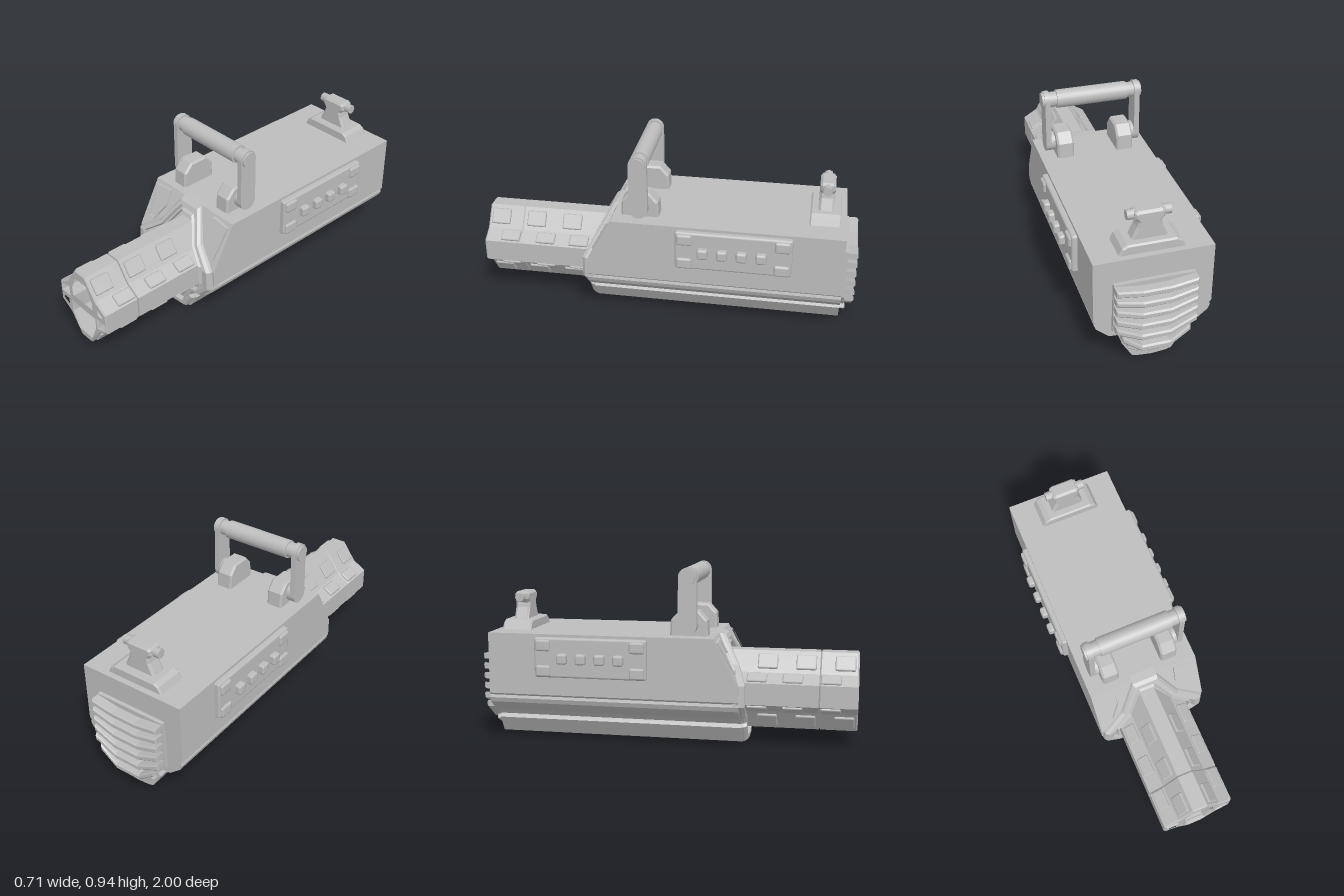
import * as THREE from 'three';
import { RoundedBoxGeometry } from 'three/addons/geometries/RoundedBoxGeometry.js';

const steel = new THREE.MeshStandardMaterial({ color: 0xbdbdbd });
steel.name = 'steel grey';

// front face of the body leans back above the shoulder line
const SHOULDER = 0.35, FRONT = 0.4;
const lean = y => -Math.max(0, y - SHOULDER) * 0.54;

export function createModel() {
  const root = new THREE.Group();
  root.name = 'cannon';

  const add = (name, geo, x = 0, y = 0, z = 0, rz = 0) => {
    const m = new THREE.Mesh(geo, steel);
    m.name = name;
    m.position.set(x, y, z);
    m.rotation.z = rz;
    root.add(m);
    return m;
  };
  const block = (w, h, d, r = 0.01) => new RoundedBoxGeometry(w, h, d, 1, r);
  const rod = (r, len, n = 24) => new THREE.CylinderGeometry(r, r, len, n).rotateZ(Math.PI / 2);
  const vec = pts => pts.map(p => new THREE.Vector2(p[0], p[1]));
  // closes a right-hand outline (top to bottom) with its mirror image
  const mirror = pts => [...pts, ...pts.filter(p => p[0] > 0).reverse().map(p => [-p[0], p[1]])];
  const extrude = (pts, z0, z1, bevel = 0, holes = []) => {
    const s = new THREE.Shape(vec(pts));
    s.holes = holes.map(h => new THREE.Path(vec(h)));
    return new THREE.ExtrudeGeometry(s, {
      depth: z1 - z0 - 2 * bevel, bevelEnabled: bevel > 0, bevelSize: bevel,
      bevelThickness: bevel, bevelOffset: -bevel, bevelSegments: 1, curveSegments: 10
    }).translate(0, 0, z0 + bevel);
  };
  const shift = (geo, rule) => {
    const p = geo.attributes.position;
    for (let i = 0; i < p.count; i++) p.setZ(i, rule(p.getY(i), p.getZ(i)));
    geo.computeVertexNormals();
    return geo;
  };

  // body: leaning upper box and stepped keel
  const upper = new THREE.BoxGeometry(0.59, 0.24, FRONT + 0.93).translate(0, 0.47, (FRONT - 0.93) / 2);
  add('upperBody', shift(upper, (y, z) => z > 0 ? z + lean(y) : z));
  add('lowerBody', extrude(mirror([
    [0.295, 0.35], [0.295, 0.265], [0.285, 0.255], [0.29, 0.24], [0.28, 0.215], [0.215, 0.16],
    [0.17, 0.157], [0.14, 0.12], [0.152, 0.1], [0.1, 0.015], [0.07, 0.006], [0, 0]
  ]), -0.93, FRONT));

  // collar: lofted rings between the body outline and the barrel
  const outer = mirror([[0, 0.592], [0.07, 0.592], [0.1, 0.54], [0.16, 0.44], [0.285, 0.35], [0.292, 0.24],
    [0.215, 0.162], [0.16, 0.157], [0.135, 0.12], [0.148, 0.1], [0.09, 0.012], [0, 0.002]]);
  const inner = mirror([[0, 0.53], [0.035, 0.53], [0.055, 0.505], [0.115, 0.41], [0.195, 0.35], [0.195, 0.235],
    [0.15, 0.205], [0.12, 0.19], [0.105, 0.17], [0.095, 0.15], [0.045, 0.08], [0, 0.08]]);
  const rings = [[0, -0.03], [0.05, 0.015], [0.2, 0.03], [0.5, 0.03], [0.65, 0.01], [0.8, 0.01], [0.9, 0.025], [1, -0.02]]
    .map(([t, dz]) => outer.map((o, i) => {
      const x = o[0] + (inner[i][0] - o[0]) * t, y = o[1] + (inner[i][1] - o[1]) * t;
      return [x, y, FRONT + lean(y) + dz];
    }));
  const verts = [];
  for (let r = 0; r < rings.length - 1; r++) {
    const A = rings[r], B = rings[r + 1];
    for (let i = 0; i < A.length; i++) {
      const j = (i + 1) % A.length;
      verts.push(...A[i], ...B[i], ...A[j], ...A[j], ...B[i], ...B[j]);
    }
  }
  const collar = new THREE.BufferGeometry();
  collar.setAttribute('position', new THREE.Float32BufferAttribute(verts, 3));
  collar.computeVertexNormals();
  add('frontCollar', collar);

  // framed plates on the leaning front
  for (const s of [1, -1]) {
    const frame = [[0.165, 0.578], [0.28, 0.568], [0.265, 0.405], [0.215, 0.41], [0.16, 0.5]].map(p => [p[0] * s, p[1]]);
    const hole = frame.map(p => [0.219 * s + (p[0] - 0.219 * s) * 0.84, 0.497 + (p[1] - 0.497) * 0.88]);
    const g = extrude(frame, FRONT - 0.005, FRONT + 0.012, 0, [hole]);
    add('frontPlateFrame', shift(g, (y, z) => z + lean(y)));
  }

  // barrel: solid core, open muzzle with cross bars
  const MID = 0.2925;
  const flip = pts => pts.map(p => [p[0], 2 * MID - p[1]]);
  const quarter = [[0.04, 0.5], [0.115, 0.395], [0.19, 0.35]];
  const barrel = mirror([...quarter, ...flip(quarter).reverse()]);
  const topHole = mirror([[0.05, 0.455], [0.09, 0.37], [0.09, 0.315]]);
  const sideHole = [[0.115, 0.355], [0.17, 0.335], [0.17, 0.305], [0.115, 0.305]];
  const sideHoles = [sideHole, flip(sideHole)];
  add('barrel', extrude(barrel, 0.3, 0.8));
  add('muzzle', extrude(barrel, 0.8, 1, 0.008,
    [topHole, flip(topHole), ...sideHoles, ...sideHoles.map(h => h.map(p => [-p[0], p[1]]))]));

  // raised pads along the eight slanted barrel faces
  const rows = [[quarter[0], quarter[1], [0.53, 0.73, 0.93], 0.085], [quarter[1], quarter[2], [0.48, 0.665, 0.86], 0.066]];
  for (const [a, b, zs, len] of rows)
    for (const sx of [1, -1]) for (const sy of [1, -1]) for (const z of zs)
      add('barrelPad', block(len, 0.022, 0.105, 0.008), sx * (a[0] + b[0]) / 2,
        MID + sy * ((a[1] + b[1]) / 2 - MID), z, sx * sy * Math.atan2(b[1] - a[1], b[0] - a[0]));

  // carrying handle
  for (const s of [1, -1]) {
    const mount = mirror([[0.05, 0.72], [0.095, 0.67], [0.1, 0.58]]);
    add('handleMount', extrude(mount, -0.045, 0.045, 0.01).rotateY(Math.PI / 2), s * 0.163, 0, 0.13);
    add('handlePivot', rod(0.05, 0.04), s * 0.22, 0.65, 0.13);
    const arm = new THREE.Shape();
    arm.absarc(0, 0.65, 0.05, Math.PI, 2 * Math.PI);
    arm.absarc(0, 0.897, 0.047, 0, Math.PI);
    add('handleArm', new THREE.ExtrudeGeometry(arm, { depth: 0.028, bevelEnabled: false })
      .translate(0, 0, -0.014).rotateY(Math.PI / 2), s * 0.244, 0, 0.13);
    add('handleCap', rod(0.041, 0.03), s * 0.254, 0.895, 0.13);
    add('gripEnd', rod(0.04, 0.05), s * 0.21, 0.895, 0.13);
  }
  add('grip', rod(0.048, 0.38), 0, 0.895, 0.13);

  // rear sight
  add('sightBase', extrude(mirror([[0.12, 0.64], [0.145, 0.625], [0.165, 0.585]]), -0.9, -0.74, 0.008));
  add('sightPost', extrude(mirror([[0.06, 0.785], [0.075, 0.775], [0.075, 0.745], [0.057, 0.725],
    [0.062, 0.7], [0.098, 0.62]]), -0.86, -0.78, 0.012));
  add('sightBar', rod(0.025, 0.215, 8), 0, 0.757, -0.82);

  // side panels with corner pads and buttons
  for (const s of [1, -1]) {
    add('sidePanel', block(0.06, 0.21, 0.6, 0.012), s * 0.294, 0.47, -0.37);
    for (const z of [-0.12, -0.62]) for (const y of [0.535, 0.4])
      add('panelCornerPad', block(0.04, 0.06, 0.08, 0.012), s * 0.317, y, z);
    for (let i = 0; i < 4; i++)
      add('panelButton', block(0.05, 0.055, 0.055, 0.012), s * 0.33, 0.468, -0.215 - i * 0.1);
  }

  // rear vent: backing plate, chevron slats and lower nubs
  add('ventPlate', extrude(mirror([[0.2, 0.47], [0.205, 0.2], [0.11, 0.1]]), -0.95, -0.92));
  for (let k = 0; k < 6; k++) {
    const y = 0.465 - k * 0.054, dip = 0.02 + k * 0.011, w = k === 5 ? 0.17 : 0.2;
    add('ventSlat', extrude([[-w, y], [-w, y - 0.034], [-0.07, y - 0.034 - dip], [0.07, y - 0.034 - dip],
      [w, y - 0.034], [w, y], [0.07, y - dip], [-0.07, y - dip]], -1, -0.93, 0.008));
  }
  for (const [x, y, r] of [[0, 0.06, 0], [0.1, 0.085, 0.5], [-0.1, 0.085, -0.5]])
    add('ventNub', block(0.06, 0.03, 0.06, 0.008), x, y, -0.93, r);

  return root;
}
